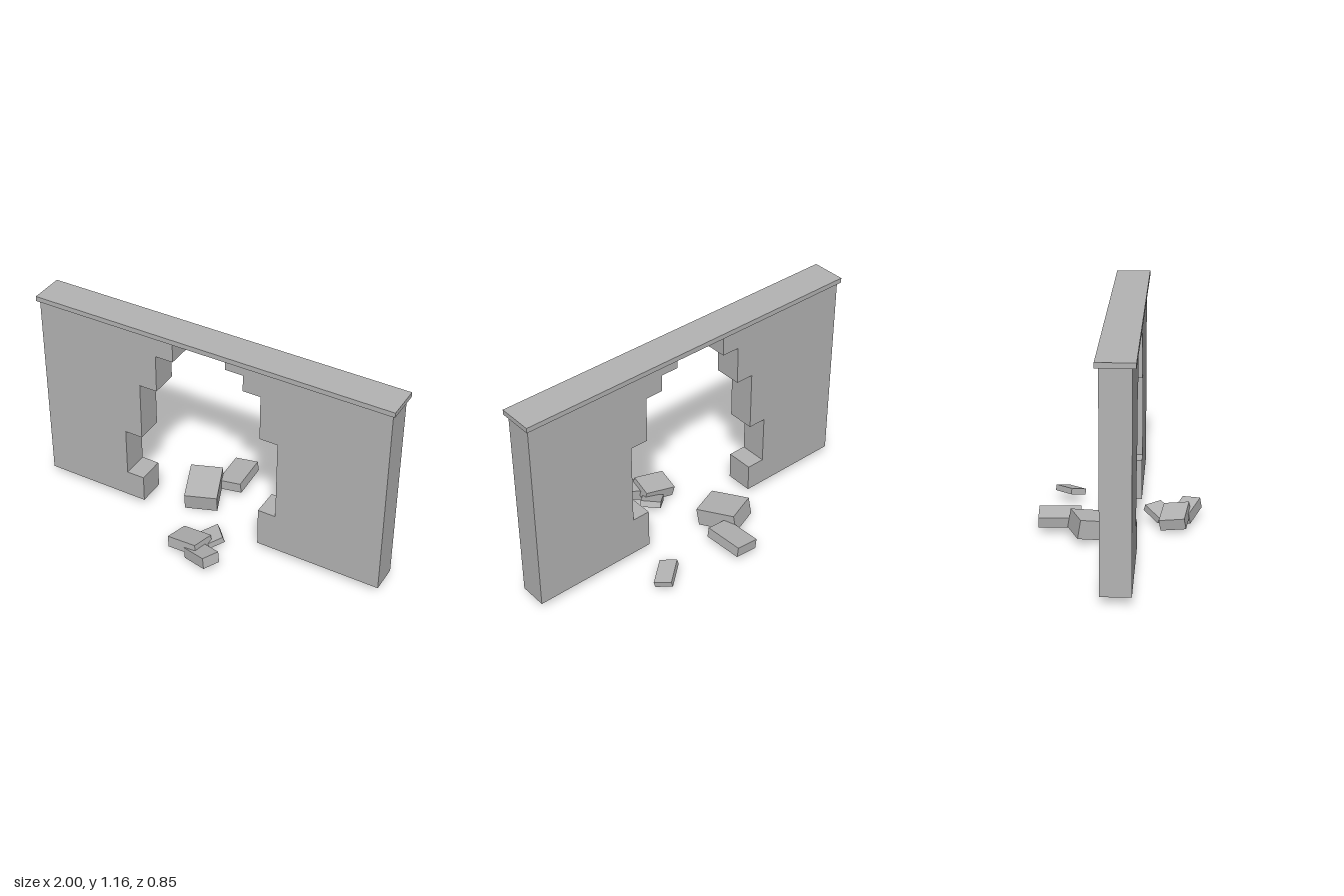
import * as THREE from 'three';

export function createModel() {
  const model = new THREE.Group();
  const stone = new THREE.MeshStandardMaterial({ color: 0xb4b4b4 });
  stone.name = 'grey stone';

  // Wall sections: front outlines, extruded from z = -0.05 to 0.10
  const bottom = 0.047, top = 1.135;
  const sections = {
    rightWall: [[-0.99, bottom], [-0.4, bottom], [-0.4, 0.2], [-0.5, 0.2], [-0.5, 0.473],
      [-0.4, 0.473], [-0.4, 0.805], [-0.3, 0.805], [-0.3, 1.018], [-0.2, 1.018], [-0.2, top], [-0.99, top]],
    archRemnant: [[-0.1, 1.127], [0, 1.127], [0, top], [-0.1, top]],
    leftWall: [[0.985, bottom], [0.985, top], [0.097, top], [0.097, 1.077], [0.197, 1.077], [0.197, 0.985],
      [0.295, 0.985], [0.295, 0.73], [0.395, 0.73], [0.395, 0.268], [0.295, 0.268], [0.295, bottom]],
  };
  for (const [name, points] of Object.entries(sections)) {
    const shape = new THREE.Shape(points.map(([x, y]) => new THREE.Vector2(x, y)));
    const geometry = new THREE.ExtrudeGeometry(shape, { depth: 0.15, bevelEnabled: false });
    const wall = new THREE.Mesh(geometry.translate(0, 0, -0.05), stone);
    wall.name = name;
    model.add(wall);
  }

  // Overhanging coping along the top
  const coping = new THREE.Mesh(new THREE.BoxGeometry(2, 0.027, 0.187), stone);
  coping.position.set(0, 1.148, 0.025);
  coping.name = 'coping';
  model.add(coping);

  // Fallen blocks: size, position, then pitch, yaw and roll in degrees
  const rubble = new THREE.Group();
  rubble.name = 'rubble';
  const blocks = [
    [[0.177, 0.1, 0.225], [-0.157, 0.072, -0.125], [10, 21, 0]],
    [[0.135, 0.056, 0.22], [-0.047, 0.072, -0.313], [0, 3, 8]],
    [[0.152, 0.032, 0.094], [0.381, 0.064, -0.292], [13, 37, -8]],
    [[0.12, 0.035, 0.11], [0.073, 0.062, 0.2], [0, 43, 20]],
    [[0.18, 0.06, 0.135], [-0.005, 0.069, 0.283], [-8, -9, 10]],
    [[0.163, 0.06, 0.1], [0.1, 0.065, 0.343], [-4, -23, 13]],
  ];
  blocks.forEach(([size, position, angles], i) => {
    const block = new THREE.Mesh(new THREE.BoxGeometry(...size), stone);
    block.position.set(...position);
    block.rotation.set(...angles.map(THREE.MathUtils.degToRad), 'YXZ');
    block.name = `fallenBlock${i + 1}`;
    rubble.add(block);
  });
  model.add(rubble);
  return model;
}
